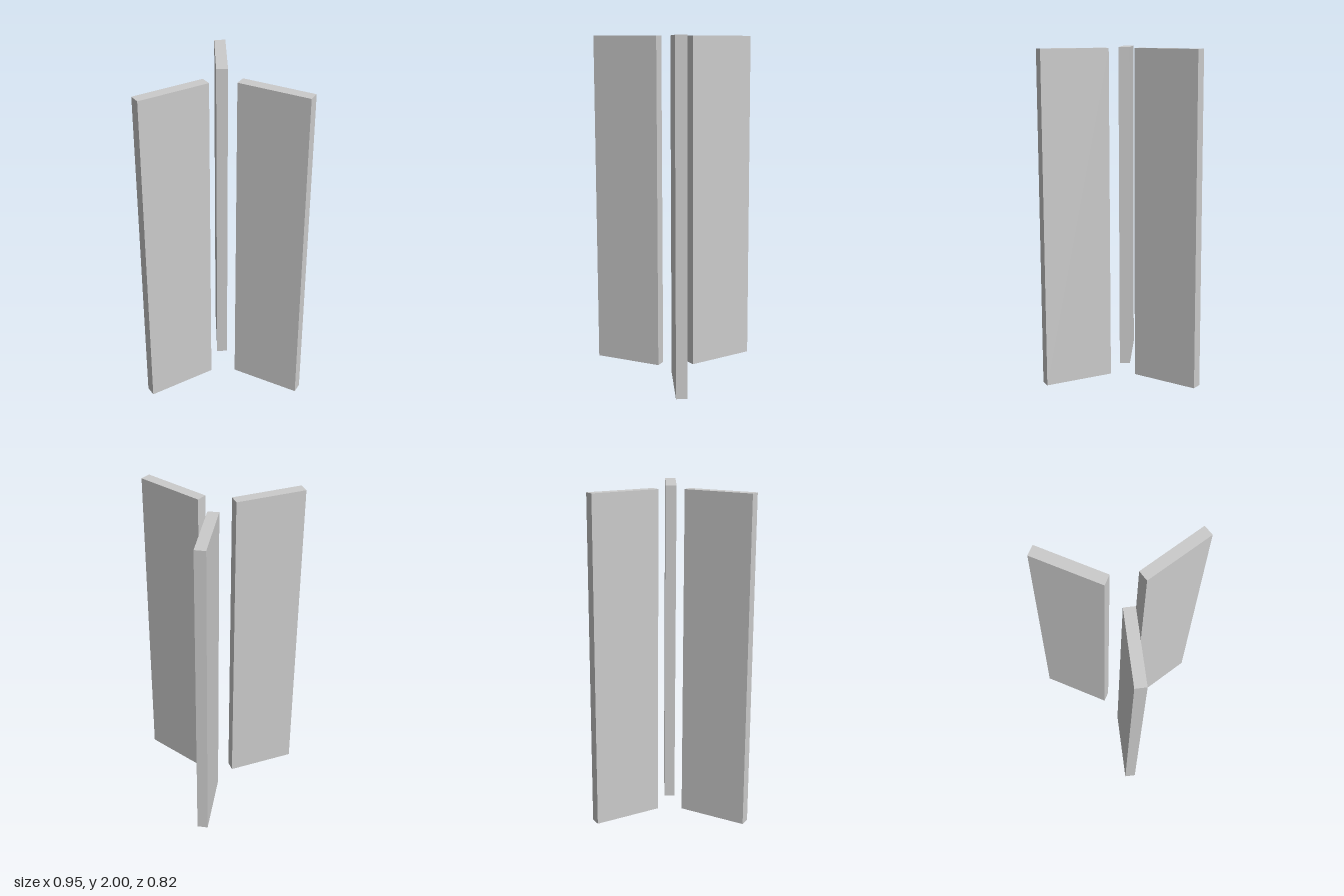
import * as THREE from 'three';

export function createModel() {
  const group = new THREE.Group();
  const material = new THREE.MeshStandardMaterial({ color: 0xcccccc, flatShading: true });

  // Three upright slabs set radially, 120 degrees apart
  const radius = 0.317;
  const slab = new THREE.BoxGeometry(0.065, 2, 0.424).translate(0, 1, -radius);
  ['backFin', 'rightFin', 'leftFin'].forEach((name, i) => {
    const fin = new THREE.Mesh(slab, material);
    fin.name = name;
    fin.rotation.y = (i * Math.PI * 2) / 3;
    // The hub of the fins sits forward of the model's centre
    fin.position.z = 0.117;
    group.add(fin);
  });

  return group;
}
